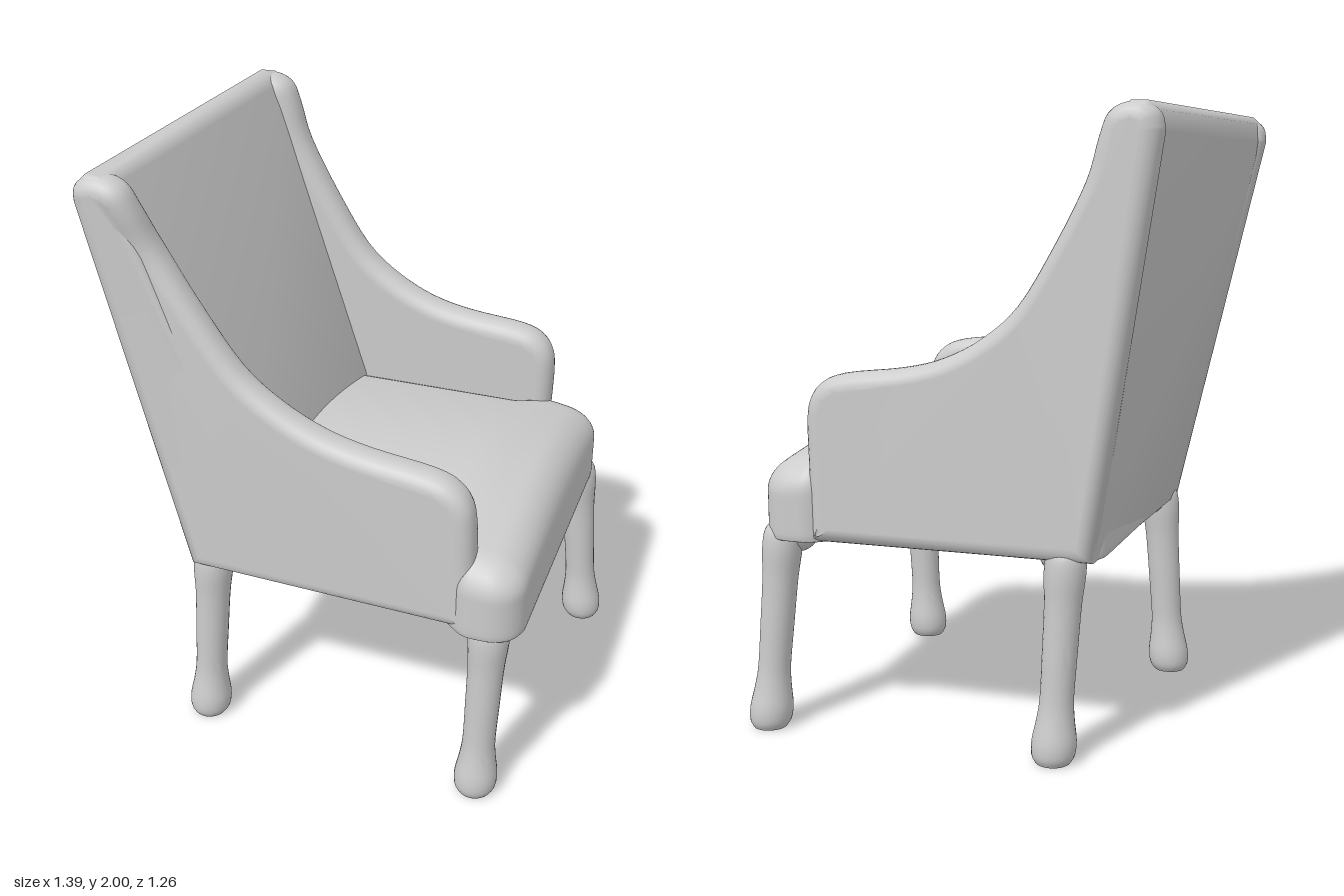
import * as THREE from 'three';
import { mergeVertices, toCreasedNormals } from 'three/addons/utils/BufferGeometryUtils.js';

const material = new THREE.MeshStandardMaterial({ color: 0xcccccc });
const v2 = (points) => points.map(([x, y]) => new THREE.Vector2(x, y));

function moveVertices(geometry, rule) {
  const pos = geometry.attributes.position;
  const p = new THREE.Vector3();
  for (let i = 0; i < pos.count; i++) {
    p.fromBufferAttribute(pos, i);
    rule(p);
    pos.setXYZ(i, p.x, p.y, p.z);
  }
  return geometry;
}

// Slight taper to the rear, a twist and tilt of the backrest, and a flared left top corner
function warp(p) {
  const t = THREE.MathUtils.clamp((p.y - 0.64) / 1.3, 0, 1);
  const z = p.z;
  const flare = z > 0.3 ? 0.045 * THREE.MathUtils.smoothstep(p.y, 1.72, 1.95) : 0;
  p.z = z * (1 + 0.075 * p.x) + 0.01 + 0.01 * t + flare;
  p.x = p.x * (1 + 0.06 * z) - 0.08 * z * t;
  p.y -= 0.03 * z * t;
}

// Shared vertices give soft, area-weighted normals
function smooth(geometry) {
  geometry.deleteAttribute('uv');
  geometry.deleteAttribute('normal');
  const merged = mergeVertices(geometry, 1e-4);
  merged.computeVertexNormals();
  return merged;
}

function named(name, geometry) {
  const mesh = new THREE.Mesh(geometry, material);
  mesh.name = name;
  return mesh;
}

// Padded panel: side outline extruded along z with a round edge
function paddedPanel(outline, thickness, bevel, z) {
  const geometry = new THREE.ExtrudeGeometry(new THREE.Shape(outline), {
    depth: thickness - 2 * bevel, bevelThickness: bevel, bevelSize: bevel,
    bevelOffset: -bevel, bevelSegments: 6,
  });
  geometry.translate(0, 0, z - thickness / 2 + bevel);
  return smooth(moveVertices(geometry, warp));
}

// Side panel that sweeps down from the backrest to the armrest
function sideOutline() {
  const sweep = new THREE.SplineCurve(v2([
    [0.49, 1.0], [0.48, 1.08], [0.44, 1.14], [0.36, 1.175], [0.16, 1.2], [0.02, 1.235],
    [-0.11, 1.3], [-0.23, 1.4], [-0.35, 1.58], [-0.45, 1.76], [-0.49, 1.88],
    [-0.52, 1.95], [-0.57, 1.98], [-0.63, 1.98], [-0.67, 1.95], [-0.68, 1.9],
  ])).getPoints(60);
  return [...v2([[-0.45, 0.642], [0.48, 0.642], [0.49, 0.655]]), ...sweep];
}

// Crowned seat with a flat underside, widening in front of the arms
function seatGeometry() {
  const w = 1.11, h = 0.36, d = 1.15, r = 0.11;
  const q = new THREE.Vector3();
  const geometry = new THREE.BoxGeometry(w, h, d, 60, 20, 60);
  moveVertices(geometry, (p) => {
    q.set(
      THREE.MathUtils.clamp(p.x, -w / 2 + r, w / 2 - r),
      THREE.MathUtils.clamp(p.y, -h / 2 + r, h / 2 - r),
      THREE.MathUtils.clamp(p.z, -d / 2 + r, d / 2 - r),
    );
    p.sub(q).setLength(r).add(q);
    p.x += 0.1;
    p.y += 0.735;
    if (p.y > 0.72) {
      const crown = 0.06 * Math.cos(Math.PI * p.z / d);
      const slope = 0.04 * THREE.MathUtils.smoothstep(p.x, 0.35, 0.65);
      p.y += (crown - slope) * (p.y - 0.72) / 0.195;
    }
    p.y = Math.max(p.y, 0.642);
    p.z = p.z * (0.86 + 0.14 * THREE.MathUtils.smoothstep(p.x, 0.36, 0.5)) + 0.02;
  });
  return smooth(geometry);
}

// Turned leg with a bulbous foot, leaning from foot to top, and a small bracket inside
function leg(name, [footX, footZ], [topX, topZ]) {
  const profile = new THREE.SplineCurve(v2([
    [0.055, 0], [0.068, 0.025], [0.07, 0.07], [0.059, 0.14], [0.053, 0.21],
    [0.055, 0.35], [0.058, 0.5], [0.065, 0.6], [0.06, 0.66], [0.035, 0.69], [0, 0.7],
  ])).getPoints(40);
  const geometry = new THREE.LatheGeometry([new THREE.Vector2(0, 0), ...profile], 28);
  moveVertices(geometry, (p) => {
    const t = p.y / 0.65;
    p.x += THREE.MathUtils.lerp(footX, topX, t);
    p.z += THREE.MathUtils.lerp(footZ, topZ, t);
  });
  const bracket = named('bracket', new THREE.SphereGeometry(0.07, 24, 16));
  bracket.position.set(topX - 0.03 * Math.sign(topX), 0.652, topZ - 0.04 * Math.sign(topZ));

  const group = new THREE.Group();
  group.name = name;
  group.add(named('post', toCreasedNormals(geometry, 0.8)), bracket);
  return group;
}

export function createModel() {
  const model = new THREE.Group();
  model.name = 'armchair';

  // Upholstered body, turned a little off axis
  const body = new THREE.Group();
  body.name = 'upholstery';
  body.rotation.y = 0.08;
  model.add(body);

  body.add(named('leftSidePanel', paddedPanel(sideOutline(), 0.115, 0.05, 0.488)));
  body.add(named('rightSidePanel', paddedPanel(sideOutline(), 0.115, 0.05, -0.488)));

  // Backrest wedge, thick at the seat and thin at the top
  const backOutline = v2([
    [-0.45, 0.642], [-0.2, 0.642], [-0.2, 0.93], [-0.56, 1.95], [-0.585, 1.985],
    [-0.635, 1.985], [-0.66, 1.96], [-0.668, 1.9],
  ]);
  body.add(named('backrest', paddedPanel(backOutline, 1.05, 0.025, 0)));
  body.add(named('seat', seatGeometry()));

  model.add(
    leg('frontLeftLeg', [0.57, 0.5], [0.59, 0.48]),
    leg('frontRightLeg', [0.61, -0.555], [0.56, -0.525]),
    leg('backLeftLeg', [-0.415, 0.505], [-0.375, 0.485]),
    leg('backRightLeg', [-0.35, -0.45], [-0.38, -0.425]),
  );
  return model;
}
